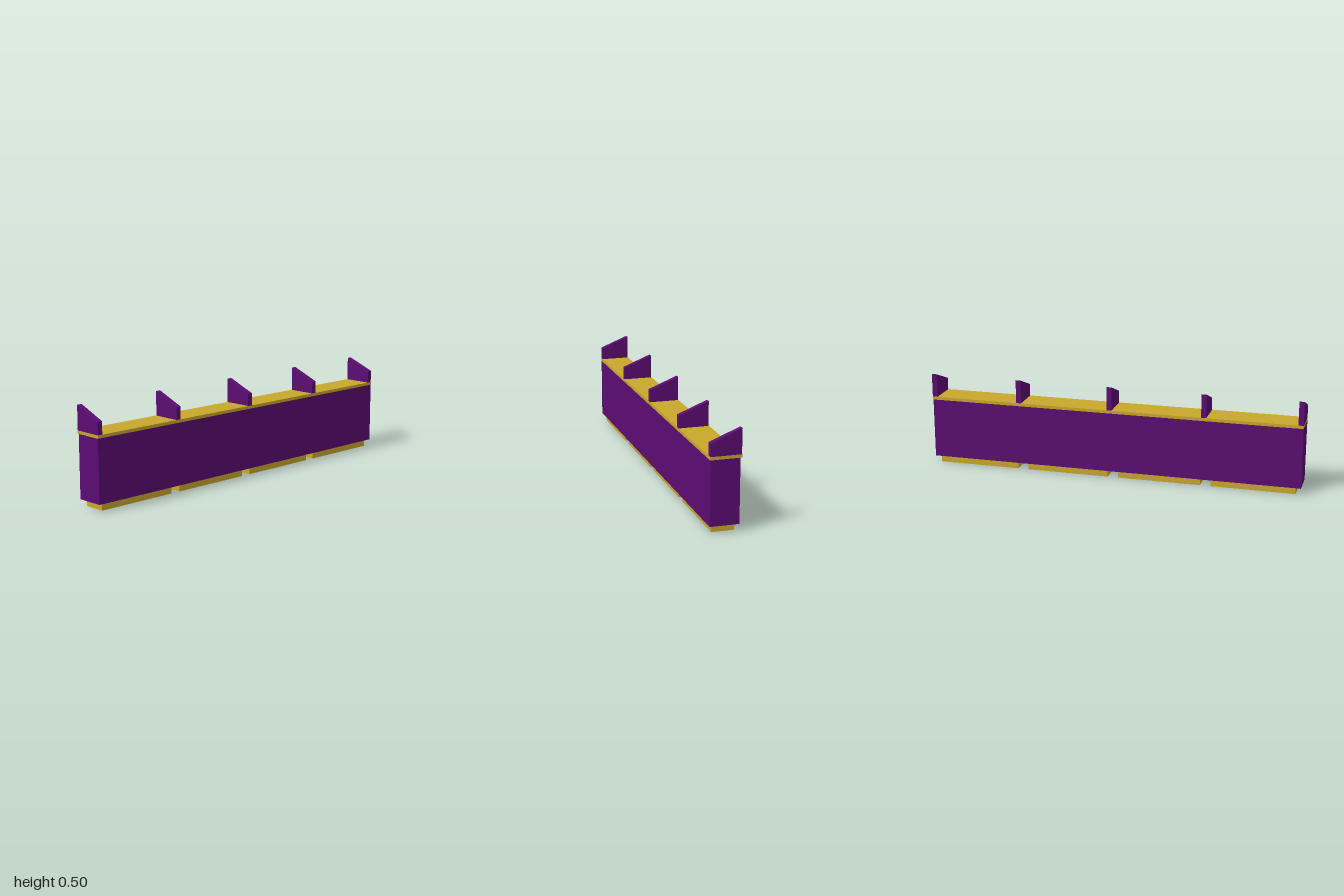
import * as THREE from 'three';

export function createModel() {
  const group = new THREE.Group();
  const purple = new THREE.MeshStandardMaterial({ color: 0x5c0c73 });
  purple.name = 'purple';
  const gold = new THREE.MeshStandardMaterial({ color: 0xc8a72d });
  gold.name = 'gold';

  // Box given by its minimum and maximum corners
  function box(name, material, [x0, y0, z0], [x1, y1, z1]) {
    const mesh = new THREE.Mesh(new THREE.BoxGeometry(x1 - x0, y1 - y0, z1 - z0), material);
    mesh.position.set((x0 + x1) / 2, (y0 + y1) / 2, (z0 + z1) / 2);
    mesh.name = name;
    group.add(mesh);
  }

  // Counter body and overhanging top
  box('body', purple, [-1, 0.037, -0.069], [1, 0.36, 0.077]);
  box('counterTop', gold, [-1, 0.36, -0.078], [1, 0.376, 0.078]);

  // Recessed plinths under each bay
  for (let i = 0; i < 4; i++) {
    const x = -1 + i * 0.5;
    box('plinth', gold, [x + 0.028, 0, -0.054], [x + 0.472, 0.037, 0.06]);
  }

  // Slanted dividers, drawn in side profile (shape x = -z) and extruded along x
  const profile = new THREE.Shape([
    new THREE.Vector2(-0.077, 0.376),
    new THREE.Vector2(0.076, 0.376),
    new THREE.Vector2(0.076, 0.502),
    new THREE.Vector2(-0.077, 0.441),
  ]);
  const thickness = 0.027;
  const dividerGeometry = new THREE.ExtrudeGeometry(profile, { depth: thickness, bevelEnabled: false });
  dividerGeometry.rotateY(Math.PI / 2);
  for (const x of [-1, -0.502, 0, 0.498, 1 - thickness]) {
    const divider = new THREE.Mesh(dividerGeometry, purple);
    divider.position.x = x;
    divider.name = 'divider';
    group.add(divider);
  }

  return group;
}
